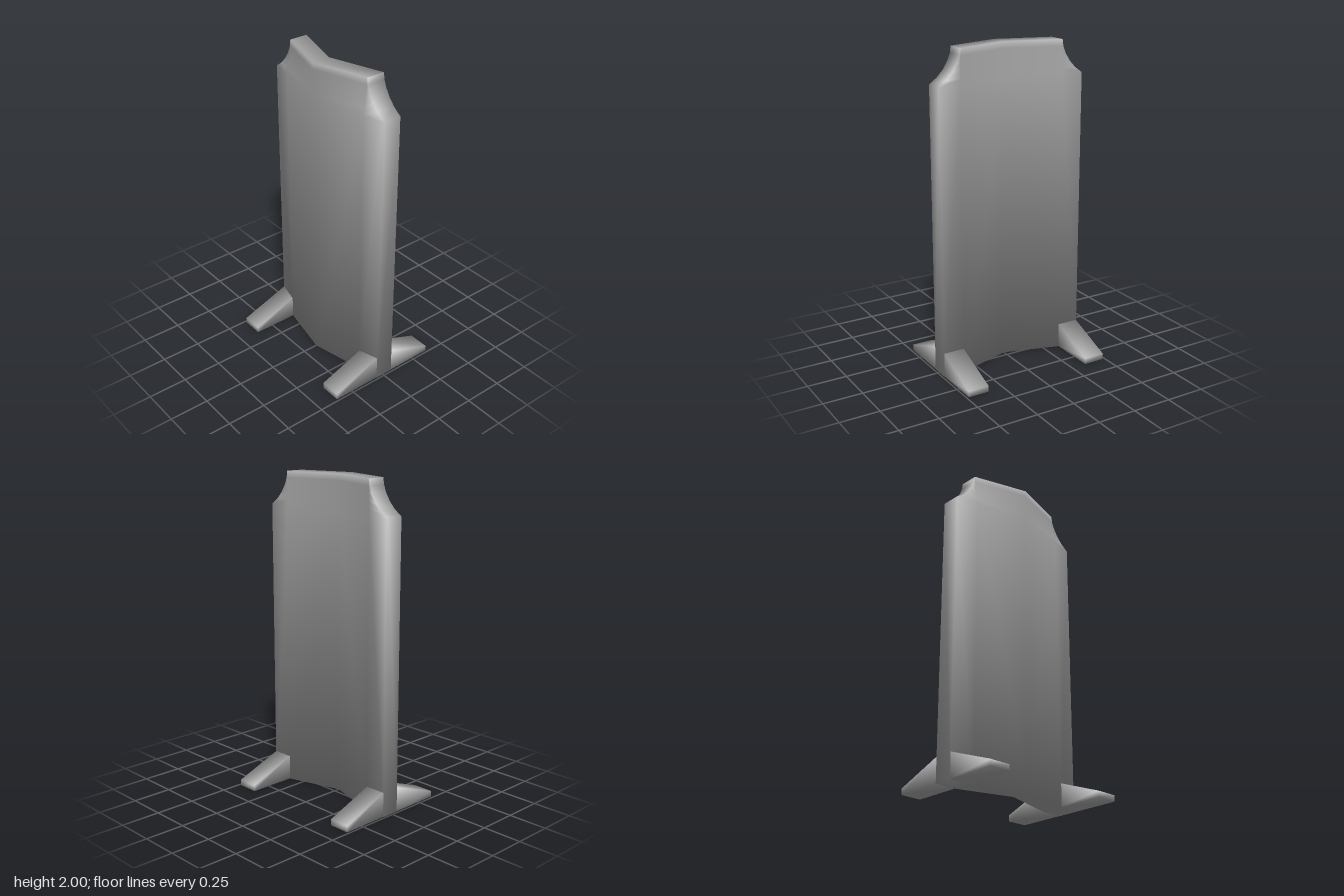
import * as THREE from 'three';
import { mergeVertices } from 'three/addons/utils/BufferGeometryUtils.js';

const FRONT = 0.05, BACK = -0.067, MID = 0.345, RIDGE = 0.152;

// Soft normals: each face counts by its corner angle, so small edge faces round off the large ones
function softenNormals(g) {
  const p = g.attributes.position, index = g.index.array;
  const sums = Array.from({ length: p.count }, () => new THREE.Vector3());
  const at = i => new THREE.Vector3().fromBufferAttribute(p, i);
  for (let t = 0; t < index.length; t += 3) {
    const ids = [index[t], index[t + 1], index[t + 2]];
    const v = ids.map(at);
    const normal = new THREE.Triangle(...v).getNormal(new THREE.Vector3());
    ids.forEach((id, k) => {
      const toNext = v[(k + 1) % 3].clone().sub(v[k]);
      const toLast = v[(k + 2) % 3].clone().sub(v[k]);
      sums[id].addScaledVector(normal, toNext.angleTo(toLast));
    });
  }
  g.setAttribute('normal', new THREE.Float32BufferAttribute(sums.flatMap(n => n.normalize().toArray()), 3));
  return g;
}

// Folded slab lofted from ten-point plan sections
function panelGeometry() {
  // [height, half width] up the outline, with scooped upper corners
  const rows = [[0, 0.488], [1.79, 0.488], [1.827, 0.437], [1.87, 0.397], [1.92, 0.366], [1.96, 0.351], [2, MID]];
  const pos = [], idx = [];
  rows.forEach(([y, w]) => {
    const mid = Math.min(MID, w - 0.003);
    const zMid = RIDGE - (RIDGE - FRONT) * mid / w;
    const half = [[mid, zMid], [w, FRONT], [w, BACK], [mid, BACK]];
    const ring = [[0, RIDGE], ...half, [0, 0.036], ...half.map(([x, z]) => [-x, z]).reverse()];
    ring.forEach(([x, z]) => pos.push(x, y, z));
  });
  const n = 10, top = (rows.length - 1) * n;
  for (let r = 0; r < rows.length - 1; r++) {
    for (let i = 0; i < n; i++) {
      const a = r * n + i, b = r * n + (i + 1) % n, c = b + n, d = a + n;
      if (i < 5) idx.push(a, b, c, a, c, d);
      else idx.push(a, b, d, b, c, d);
    }
  }
  // Top and bottom edges
  for (const [a, b, c, d] of [[0, 1, 4, 5], [1, 2, 3, 4], [9, 0, 5, 6], [8, 9, 6, 7]]) {
    idx.push(top + a, top + b, top + c, top + a, top + c, top + d);
    idx.push(a, c, b, a, d, c);
  }
  const g = new THREE.BufferGeometry();
  g.setAttribute('position', new THREE.Float32BufferAttribute(pos, 3));
  g.setIndex(idx);
  return softenNormals(g);
}

// Wedge from the panel face out to a low toe
function footGeometry(z0, z1) {
  const len = Math.abs(z1 - z0);
  const g = new THREE.BoxGeometry(0.135, 1, len);
  g.translate(0, 0.5, (z0 + z1) / 2);
  const p = g.attributes.position;
  for (let i = 0; i < p.count; i++) {
    const t = Math.abs(p.getZ(i) - z0) / len;
    p.setY(i, p.getY(i) * (0.155 - 0.117 * t));
  }
  g.deleteAttribute('normal');
  g.deleteAttribute('uv');
  return softenNormals(mergeVertices(g));
}

export function createModel() {
  const grey = new THREE.MeshStandardMaterial({ color: 0xaaaaaa });
  grey.name = 'plain grey';
  const model = new THREE.Group();
  model.name = 'standingShield';

  const panel = new THREE.Mesh(panelGeometry(), grey);
  panel.name = 'panel';
  model.add(panel);

  // Four support feet
  for (const [side, x] of [['left', 0.4185], ['right', -0.4185]]) {
    for (const [end, z0, z1] of [['Front', FRONT, 0.37], ['Back', BACK, -0.37]]) {
      const foot = new THREE.Mesh(footGeometry(z0, z1), grey);
      foot.name = side + end + 'Foot';
      foot.position.x = x;
      model.add(foot);
    }
  }
  return model;
}
